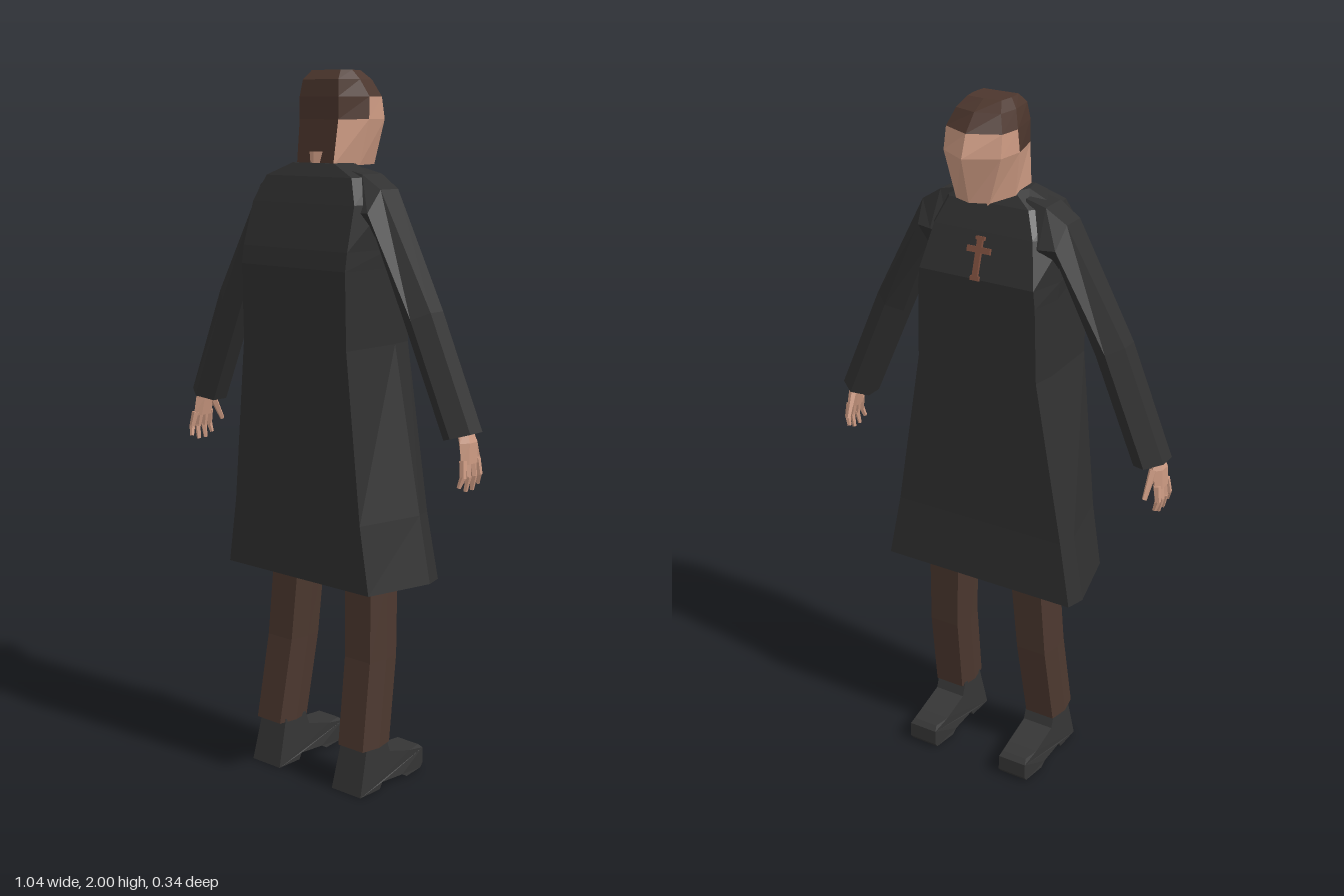
import * as THREE from 'three';

const mat = (name, color) => {
  const m = new THREE.MeshStandardMaterial({ color });
  m.name = name;
  return m;
};

// Skin rings of points into a closed, faceted solid. Rings run counter-clockwise about the direction of travel.
// side = -1 mirrors in x; pick(i, j) gives the material index of a panel.
function loft(rings, side = 1, pick = null) {
  if (side < 0) rings = rings.map(r => r.map(([x, y, z]) => [-x, y, z]).reverse());
  const pos = [], geo = new THREE.BufferGeometry(), n = rings[0].length;
  const add = (m, ...pts) => {
    if (pick) geo.addGroup(pos.length / 3, pts.length, m);
    pts.forEach(p => pos.push(...p));
  };
  for (let i = 0; i < rings.length - 1; i++) {
    for (let j = 0; j < n; j++) {
      const k = (j + 1) % n;
      const [a, b, c, d] = [rings[i][j], rings[i][k], rings[i + 1][k], rings[i + 1][j]];
      add(pick ? pick(i, j) : 0, a, b, c, a, c, d);
    }
  }
  const cap = (r, flip, m) => {
    const c = [0, 1, 2].map(q => r.reduce((s, p) => s + p[q], 0) / n);
    r.forEach((p, j) => (flip ? add(m, c, r[(j + 1) % n], p) : add(m, c, p, r[(j + 1) % n])));
  };
  cap(rings[0], true, pick ? pick(0, 1) : 0);
  cap(rings[rings.length - 1], false, pick ? pick(rings.length - 2, 1) : 0);
  geo.setAttribute('position', new THREE.Float32BufferAttribute(pos, 3));
  geo.computeVertexNormals();
  return geo;
}

// Symmetric ring at height y from half-profile points [x, z], running from back to front
const ring = (y, half, cx = 0) => [
  ...half.map(([x, z]) => [cx + x, y, z]),
  ...half.filter(p => p[0] > 0).reverse().map(([x, z]) => [cx - x, y, z]),
];

const faceted = g => {
  const f = g.index ? g.toNonIndexed() : g;
  f.computeVertexNormals();
  return f;
};

// Tapered five-sided rod between two points
function rod(a, b, r0, r1) {
  const A = new THREE.Vector3(...a), B = new THREE.Vector3(...b), d = B.clone().sub(A);
  const g = new THREE.CylinderGeometry(r1, r0, d.length(), 5);
  g.applyQuaternion(new THREE.Quaternion().setFromUnitVectors(new THREE.Vector3(0, 1, 0), d.normalize()));
  g.translate(...A.add(B).multiplyScalar(0.5).toArray());
  return faceted(g);
}

export function createModel() {
  const model = new THREE.Group();
  model.name = 'standingMan';
  const cloth = mat('coatBlack', 0x303030), brown = mat('trouserBrown', 0x4c382f);
  const hair = mat('hairBrown', 0x4c362d), skin = mat('skin', 0xcc9a82);
  const leather = mat('shoeBlack', 0x353535), copper = mat('crossCopper', 0x7d4f3e);
  const add = (name, geo, material, parent = model) => {
    const m = new THREE.Mesh(geo, material);
    m.name = name;
    parent.add(m);
    return m;
  };

  // Long coat: flat back and front, flared hem
  add('coat', loft([
    ring(0.61, [[0.265, 0.158], [0.315, -0.045], [0.3, -0.1]]),
    ring(0.8, [[0.235, 0.16], [0.28, -0.04], [0.265, -0.092]]),
    ring(1.27, [[0.19, 0.165], [0.196, -0.03], [0.185, -0.098]]),
    ring(1.48, [[0.19, 0.17], [0.196, -0.01], [0.18, -0.1]]),
    ring(1.53, [[0.19, 0.162], [0.2, 0], [0.175, -0.1]]),
    ring(1.65, [[0.185, 0.128], [0.205, 0.02], [0.15, -0.062]]),
    ring(1.72, [[0.155, 0.105], [0.17, 0.03], [0.12, -0.033]]),
    ring(1.755, [[0.075, 0.085], [0.085, 0.035], [0.065, -0.008]]),
  ]), cloth);

  // Cross on the chest, lying along its slope
  const cross = new THREE.Group();
  cross.name = 'chestCross';
  cross.position.set(0, 1.585, -0.087);
  cross.rotation.x = 0.3;
  [['crossUpright', 0.016, 0.115, 0], ['crossBar', 0.07, 0.016, 0.022],
    ['crossTop', 0.026, 0.01, 0.053], ['crossFoot', 0.026, 0.012, -0.053]].forEach(([name, w, h, y]) => {
    add(name, new THREE.BoxGeometry(w, h, 0.009), copper, cross).position.y = y;
  });
  model.add(cross);

  // Neck
  const neck = faceted(new THREE.CylinderGeometry(0.058, 0.062, 0.1, 8));
  add('neck', neck, skin).position.set(0, 1.735, 0.025);

  // Head: hair covers the crown, back and temples
  add('head', loft([
    ring(1.748, [[0.066, 0.078], [0.074, -0.02], [0.05, -0.11], [0, -0.13]]),
    ring(1.87, [[0.07, 0.062], [0.095, -0.035], [0.085, -0.112], [0, -0.164]]),
    ring(1.93, [[0.07, 0.062], [0.092, -0.04], [0.083, -0.102], [0, -0.142]]),
    ring(1.975, [[0.064, 0.055], [0.075, -0.02], [0.066, -0.08], [0, -0.1]]),
    ring(2.0, [[0.052, 0.032], [0.056, -0.01], [0.05, -0.05], [0, -0.055]]),
  ], 1, (i, j) => (i >= 2 || j === 6 || (i === 1 && (j === 0 || j === 5)) ? 1 : 0)), [skin, hair]);

  // Sleeve cross-section between an upper and a lower edge point
  const sleeveRing = (tx, ty, bx, by, z0, z1) => {
    const q = (z1 - z0) * 0.27, mx = (tx + bx) / 2, my = (ty + by) / 2;
    return [[tx, ty, z0 + q], [tx, ty, z1 - q], [mx, my, z1],
      [bx, by, z1 - q], [bx, by, z0 + q], [mx, my, z0]];
  };
  // Side outline of a shoe: forward distance and height
  const shoeShape = new THREE.Shape([
    [-0.125, 0], [-0.04, 0], [-0.03, 0.018], [0.06, 0.012], [0.08, 0], [0.155, 0], [0.166, 0.015],
    [0.164, 0.06], [0.15, 0.073], [0.1, 0.072], [0.01, 0.098], [-0.005, 0.14], [-0.09, 0.14],
  ].map(p => new THREE.Vector2(...p)));

  for (const s of [1, -1]) {
    const side = s > 0 ? 'left' : 'right';

    add(side + 'Sleeve', loft([
      sleeveRing(0.1, 1.742, 0.12, 1.5, -0.055, 0.115),
      sleeveRing(0.16, 1.728, 0.17, 1.53, -0.06, 0.115),
      sleeveRing(0.22, 1.69, 0.2, 1.57, -0.05, 0.105),
      sleeveRing(0.39, 1.38, 0.305, 1.34, -0.022, 0.092),
      sleeveRing(0.52, 1.075, 0.432, 1.048, -0.028, 0.085),
    ], s), cloth);

    // Hand: flat palm, four fingers and a thumb
    const hand = new THREE.Group();
    hand.name = side + 'Hand';
    model.add(hand);
    const palmRing = (x, y, w, z0, z1) => sleeveRing(x + w, y, x - w, y, z0, z1);
    add('palm', loft([
      palmRing(0.48, 1.09, 0.018, 0.005, 0.055),
      palmRing(0.495, 1.05, 0.018, -0.004, 0.066),
      palmRing(0.502, 0.995, 0.013, -0.004, 0.07),
    ], s), skin, hand);
    [[0.062, 0.078, 0.935], [0.043, 0.05, 0.922], [0.023, 0.022, 0.922], [0.004, -0.004, 0.935]].forEach(([z0, z1, y]) => {
      add('finger', rod([s * 0.503, 1.005, z0], [s * 0.51, 0.96, (z0 + z1) / 2], 0.011, 0.009), skin, hand);
      add('fingertip', rod([s * 0.51, 0.963, (z0 + z1) / 2], [s * 0.503, y, z1], 0.009, 0.006), skin, hand);
    });
    add('thumb', rod([s * 0.49, 1.05, 0.005], [s * 0.485, 0.975, -0.032], 0.012, 0.007), skin, hand);

    // Trouser leg, bending back towards the ankle
    const legRing = (y, cx, w, zb, zf) =>
      ring(y, [[w * 0.8, zb], [w, (zb + zf) / 2], [w * 0.8, zf]], cx);
    add(side + 'TrouserLeg', loft([
      legRing(0.13, 0.16, 0.057, 0.11, -0.005),
      legRing(0.38, 0.15, 0.058, 0.07, -0.045),
      legRing(0.62, 0.138, 0.06, 0.055, -0.06),
      legRing(0.75, 0.13, 0.06, 0.055, -0.06),
    ], s), brown);

    // Shoe with heel, narrowed at the toe and ankle
    const shoe = new THREE.ExtrudeGeometry(shoeShape, { depth: 0.108, bevelEnabled: false });
    shoe.translate(0, 0, -0.054).rotateY(Math.PI / 2);
    const p = shoe.attributes.position;
    for (let i = 0; i < p.count; i++) {
      const toe = p.getZ(i) < -0.14 ? 0.82 : 1, top = p.getY(i) > 0.07 ? 0.88 : 1;
      p.setX(i, p.getX(i) * toe * top);
    }
    add(side + 'Shoe', faceted(shoe), leather).position.x = s * 0.157;
  }
  return model;
}
